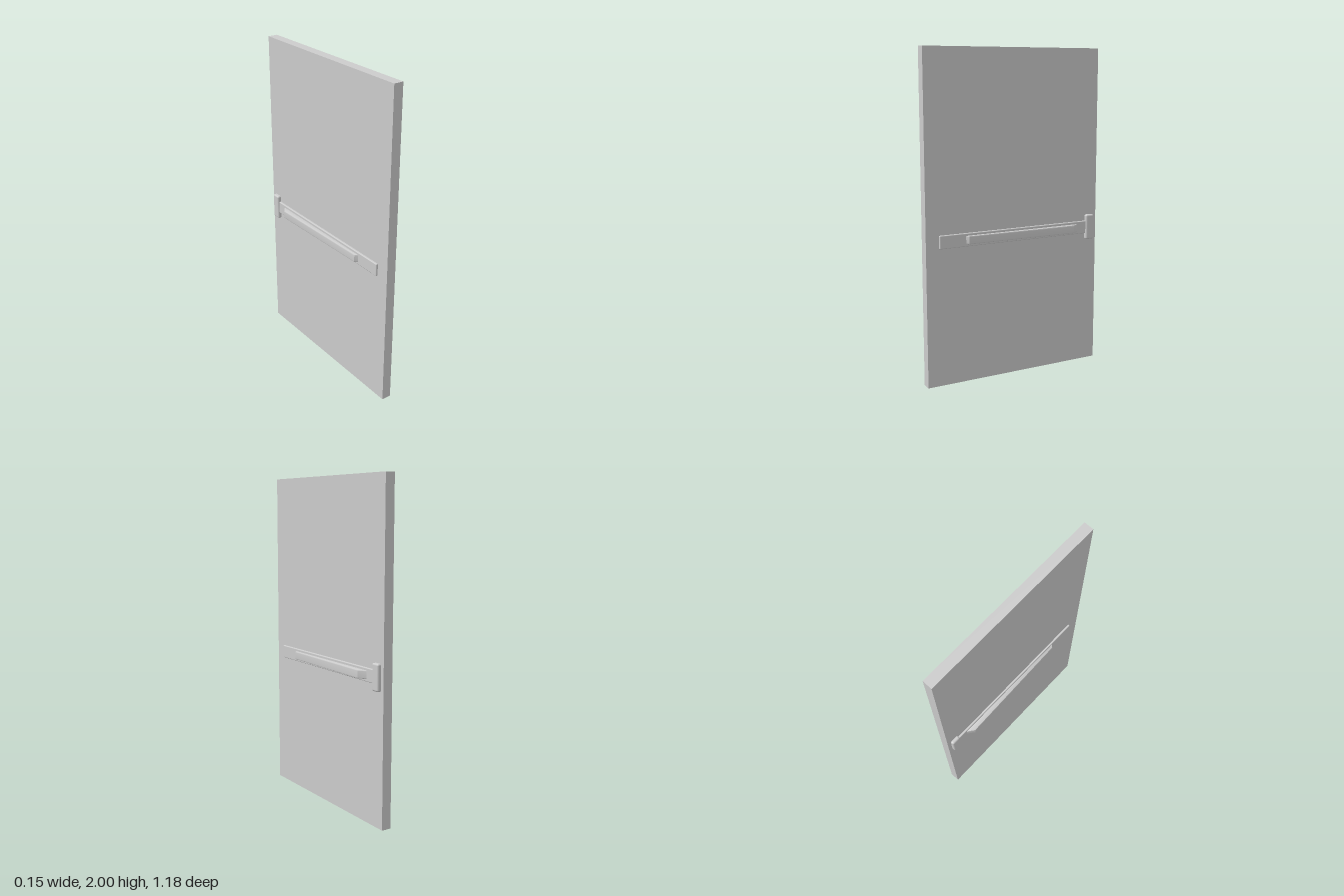
import * as THREE from 'three';
import { RoundedBoxGeometry } from 'three/addons/geometries/RoundedBoxGeometry.js';
import { toCreasedNormals } from 'three/addons/utils/BufferGeometryUtils.js';

const MID_Y = 0.88; // height of the bar's centre line
const FACE_X = 0.03; // half the door's thickness

export function createModel() {
  const model = new THREE.Group();
  const material = new THREE.MeshStandardMaterial({ color: 0xcccccc });

  const add = (parent, name, geometry, x = 0, y = 0, z = 0) => {
    const mesh = new THREE.Mesh(geometry, material);
    mesh.name = name;
    mesh.position.set(x, y, z);
    parent.add(mesh);
  };

  // Plain door slab
  add(model, 'doorPanel', new THREE.BoxGeometry(2 * FACE_X, 2, 1.176), 0, 1, 0);

  // The same push bar on both faces
  for (const side of [1, -1]) {
    const bar = new THREE.Group();
    bar.name = side > 0 ? 'leftPushBar' : 'rightPushBar';
    model.add(bar);

    // Long mounting rail, partly sunk into the door
    add(bar, 'rail', new RoundedBoxGeometry(0.026, 0.08, 1.025, 3, 0.005),
      side * (FACE_X - 0.001), MID_Y, -0.0075);

    // Latch housing at the back end
    add(bar, 'latchHousing', new RoundedBoxGeometry(0.046, 0.16, 0.058, 4, 0.011),
      side * (FACE_X - 0.001), MID_Y, -0.534);

    // Push pad: outline in plan (x, z), thicker toward the latch
    const outline = [[0.032, 0.336], [0.042, 0.336], [0.058, 0.322],
      [0.074, -0.4], [0.042, -0.443], [0.032, -0.443]];
    const shape = new THREE.Shape(outline.map(([x, z]) => new THREE.Vector2(side * x, -z)));
    const bevel = 0.006;
    const height = 0.05;
    const pad = new THREE.ExtrudeGeometry(shape, {
      depth: height - 2 * bevel, bevelEnabled: true, bevelSize: bevel / 2,
      bevelOffset: -bevel / 2, bevelThickness: bevel, bevelSegments: 3,
    });
    pad.translate(0, 0, bevel - height / 2).rotateX(-Math.PI / 2);
    add(bar, 'pushPad', toCreasedNormals(pad, 0.6), 0, MID_Y, 0);
  }

  return model;
}
